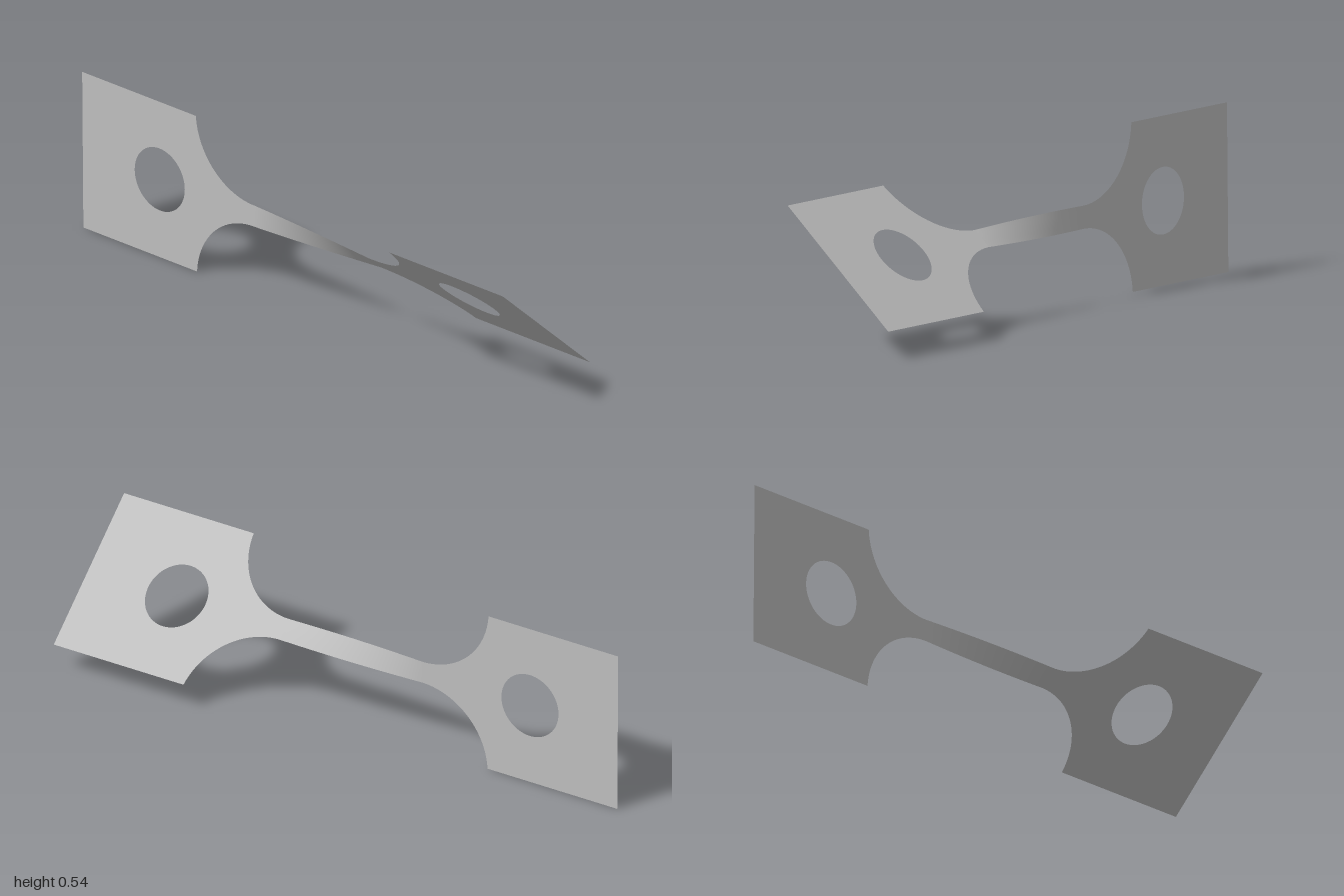
import * as THREE from 'three';

const HALF = 0.271;          // half width of the end tabs
const NECK = 0.037;          // half width of the narrow strip
const NECK_END = 0.26;       // where the fillets start
const FILLET = 0.25;         // fillet radius
const START = THREE.MathUtils.degToRad(0.6);  // tilt of the right-hand tab
const END = THREE.MathUtils.degToRad(48);     // tilt of the left-hand tab

// Flat tab on the +x side: rectangle, two concave fillets, round hole
function tabGeometry() {
  const cy = NECK + FILLET;
  const sweep = Math.acos((cy - HALF) / FILLET);
  const s = new THREE.Shape();
  s.moveTo(NECK_END, -NECK);
  s.absarc(NECK_END, -cy, FILLET, Math.PI / 2, Math.PI / 2 - sweep, true);
  s.lineTo(1, -HALF);
  s.lineTo(1, HALF);
  s.absarc(NECK_END, cy, FILLET, -Math.PI / 2 + sweep, -Math.PI / 2, true);
  s.closePath();
  const hole = new THREE.Path();
  hole.absarc(0.668, 0, 0.108, 0, Math.PI * 2, true);
  s.holes.push(hole);
  return new THREE.ShapeGeometry(s, 32);
}

// Narrow strip whose cross-section turns steadily from one tab to the other
function neckGeometry() {
  const g = new THREE.PlaneGeometry(NECK_END * 2, NECK * 2, 48, 4);
  const p = g.attributes.position;
  for (let i = 0; i < p.count; i++) {
    const x = p.getX(i), y = p.getY(i);
    const a = THREE.MathUtils.lerp(START, END, (x + NECK_END) / (2 * NECK_END));
    p.setXYZ(i, x, y * Math.cos(a), y * Math.sin(a));
  }
  g.computeVertexNormals();
  return g;
}

export function createModel() {
  const model = new THREE.Group();
  model.name = 'twistedTestStrip';
  const metal = new THREE.MeshStandardMaterial({ color: 0xbfbfbf, side: THREE.DoubleSide });
  metal.name = 'lightGrey';

  const add = (name, geometry) => {
    const mesh = new THREE.Mesh(geometry, metal);
    mesh.name = name;
    mesh.position.y = HALF;
    model.add(mesh);
  };

  add('rightTab', tabGeometry().rotateZ(Math.PI).rotateX(START));
  add('leftTab', tabGeometry().rotateX(END));
  add('twistedNeck', neckGeometry());
  return model;
}
